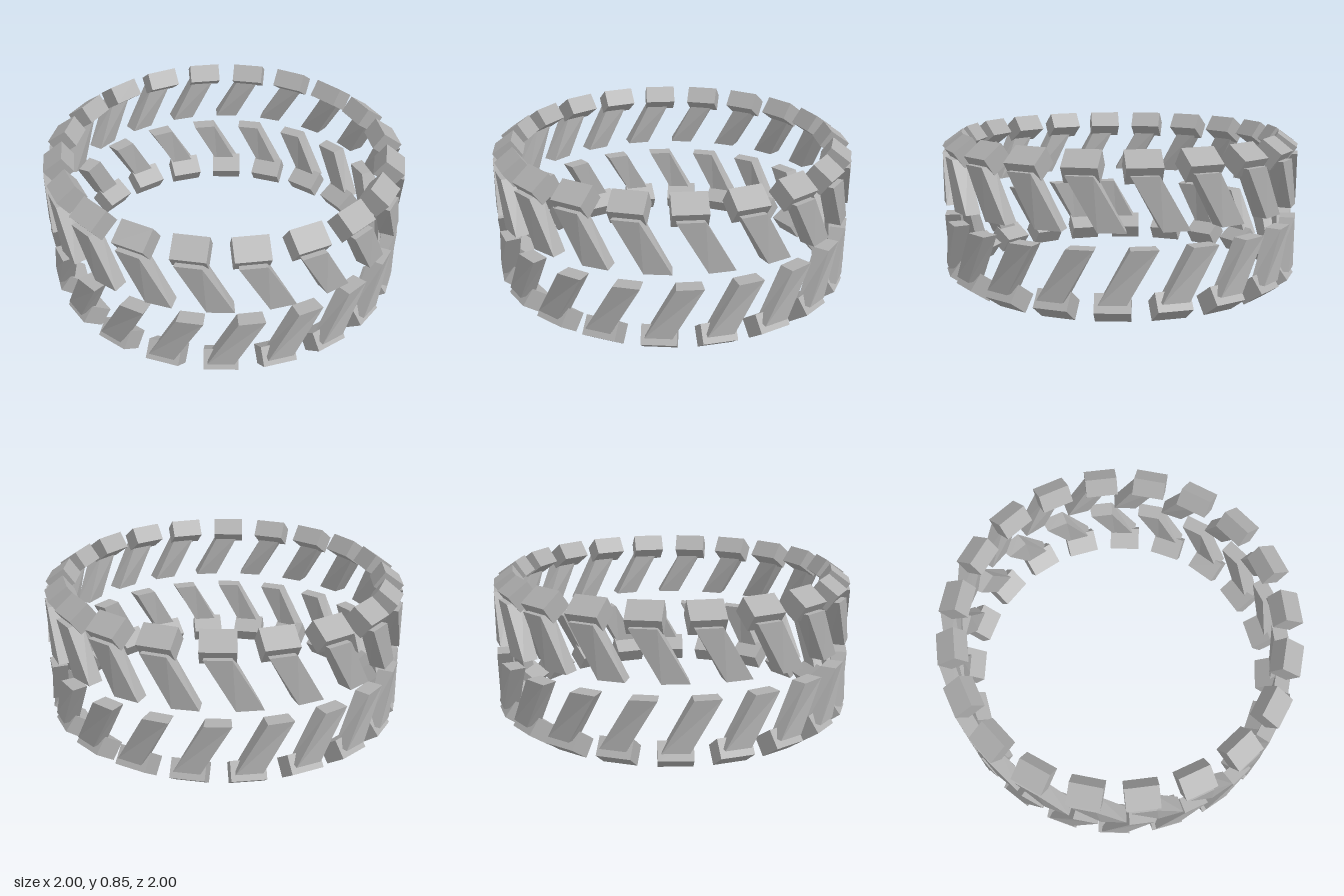
import * as THREE from 'three';

const COUNT = 20;                 // lugs per row
const HEIGHT = 0.855;
const RAD = Math.PI / 180;

// Slanted tread bar: a box wrapped onto the ring, its inner end leaning 9 degrees ahead
function barGeometry(yLow, yHigh, leanLow, leanHigh) {
  const geo = new THREE.BoxGeometry(1, 1, 1).toNonIndexed();
  const p = geo.attributes.position;
  for (let i = 0; i < p.count; i++) {
    const t = p.getY(i) + 0.5;
    const angle = (p.getX(i) * 8 + leanLow + (leanHigh - leanLow) * t) * RAD;
    const r = p.getZ(i) > 0 ? 1.0 : 0.915;
    p.setXYZ(i, r * Math.sin(angle), yLow + (yHigh - yLow) * t, r * Math.cos(angle));
  }
  geo.computeVertexNormals();
  return geo;
}

// Shoulder block: a box tilted outwards at the rim
function blockGeometry(y, tilt) {
  return new THREE.BoxGeometry(0.18, 0.104, 0.129).rotateX(tilt).translate(0, y, 0.9125);
}

export function createModel() {
  const model = new THREE.Group();
  model.name = 'tyreTread';
  const rubber = new THREE.MeshStandardMaterial({ color: 0xb0b0b0 });
  rubber.name = 'grey rubber';

  // The lower row mirrors the upper one, half a step further round
  const rows = [
    { name: 'upper', phase: -4, bar: barGeometry(0.47, 0.74, 9, 0), block: blockGeometry(0.775, 0.62) },
    { name: 'lower', phase: 5, bar: barGeometry(HEIGHT - 0.74, HEIGHT - 0.47, 0, 9), block: blockGeometry(HEIGHT - 0.775, -0.62) },
  ];

  for (const row of rows) {
    const ring = new THREE.Group();
    ring.name = row.name + 'Row';
    for (let i = 0; i < COUNT; i++) {
      const lug = new THREE.Group();
      lug.name = row.name + 'Lug';
      const bar = new THREE.Mesh(row.bar, rubber);
      bar.name = 'treadBar';
      const block = new THREE.Mesh(row.block, rubber);
      block.name = 'shoulderBlock';
      lug.add(bar, block);
      lug.rotation.y = (row.phase + (i * 360) / COUNT) * RAD;
      ring.add(lug);
    }
    model.add(ring);
  }
  return model;
}
